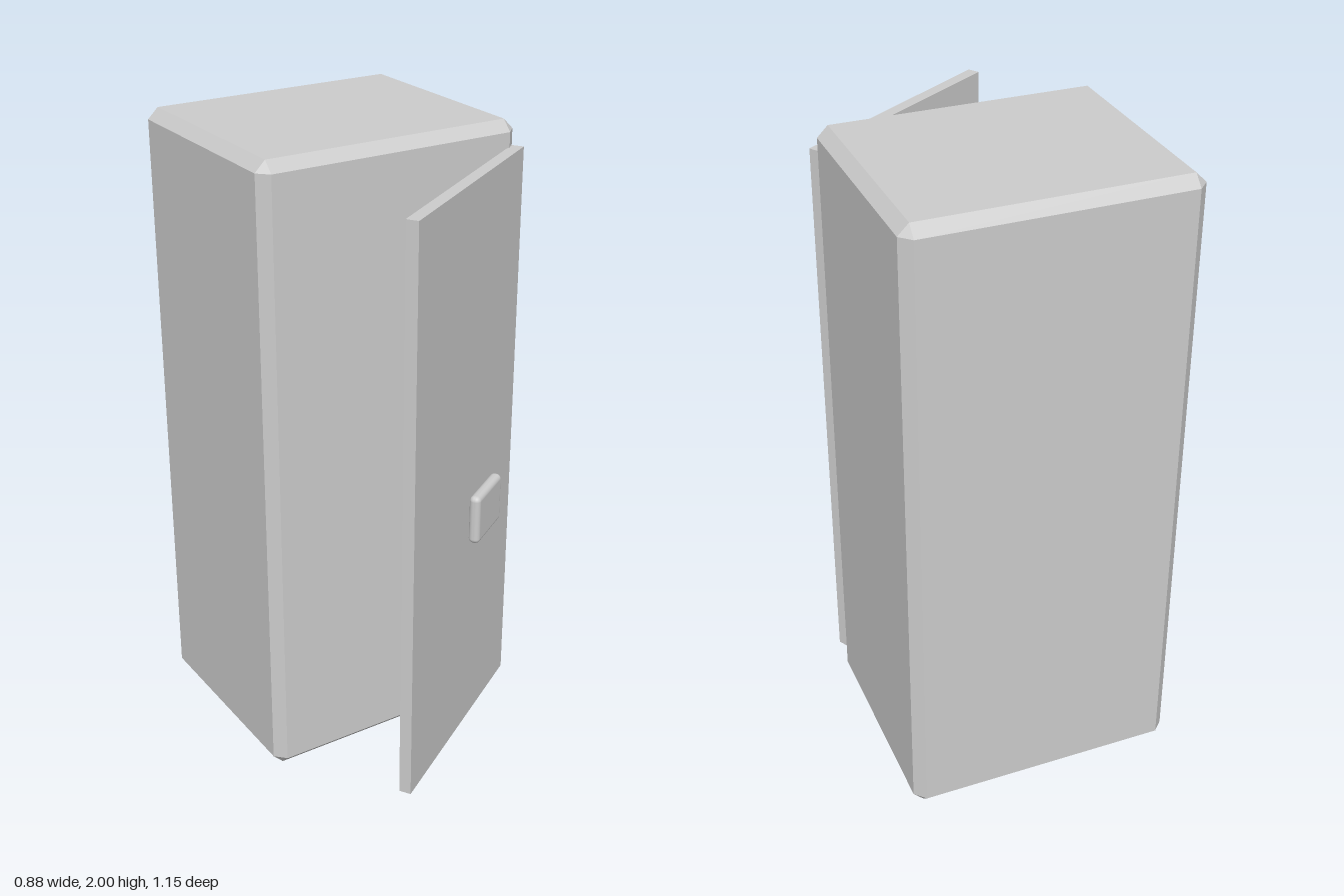
import * as THREE from 'three';
import { ConvexGeometry } from 'three/addons/geometries/ConvexGeometry.js';
import { RoundedBoxGeometry } from 'three/addons/geometries/RoundedBoxGeometry.js';

// Box whose edges and corners are cut flat by c
function chamferedBox(w, h, d, c) {
  const points = [];
  for (const sx of [-1, 1]) for (const sy of [-1, 1]) for (const sz of [-1, 1]) {
    const x = w / 2, y = h / 2, z = d / 2;
    points.push(
      new THREE.Vector3(sx * x, sy * (y - c), sz * (z - c)),
      new THREE.Vector3(sx * (x - c), sy * y, sz * (z - c)),
      new THREE.Vector3(sx * (x - c), sy * (y - c), sz * z));
  }
  return new ConvexGeometry(points);
}

export function createModel() {
  const model = new THREE.Group();
  model.name = 'locker';
  const metal = new THREE.MeshStandardMaterial({ color: 0xcccccc });
  metal.name = 'grey metal';

  function add(parent, name, geometry, x, y, z) {
    const mesh = new THREE.Mesh(geometry, metal);
    mesh.name = name;
    mesh.position.set(x, y, z);
    parent.add(mesh);
    return mesh;
  }

  // Cabinet body
  add(model, 'cabinet', chamferedBox(0.864, 2, 0.73, 0.033), -0.007, 1, -0.21);

  // Door swung open, with the panel's own axes for everything mounted on it
  const door = new THREE.Group();
  door.name = 'door';
  door.position.set(0.1025, 0, 0.354);
  door.rotation.y = 0.563;
  model.add(door);
  add(door, 'doorPanel', new THREE.BoxGeometry(0.766, 1.83, 0.038), 0, 1.005, 0);

  // Outer handle plate and inner door plate
  add(door, 'handle', new RoundedBoxGeometry(0.19, 0.16, 0.036, 4, 0.016), 0.075, 0.87, 0.0545);
  add(door, 'innerPlate', new RoundedBoxGeometry(0.395, 0.5, 0.042, 4, 0.018), -0.0565, 1.2, -0.056);

  return model;
}
